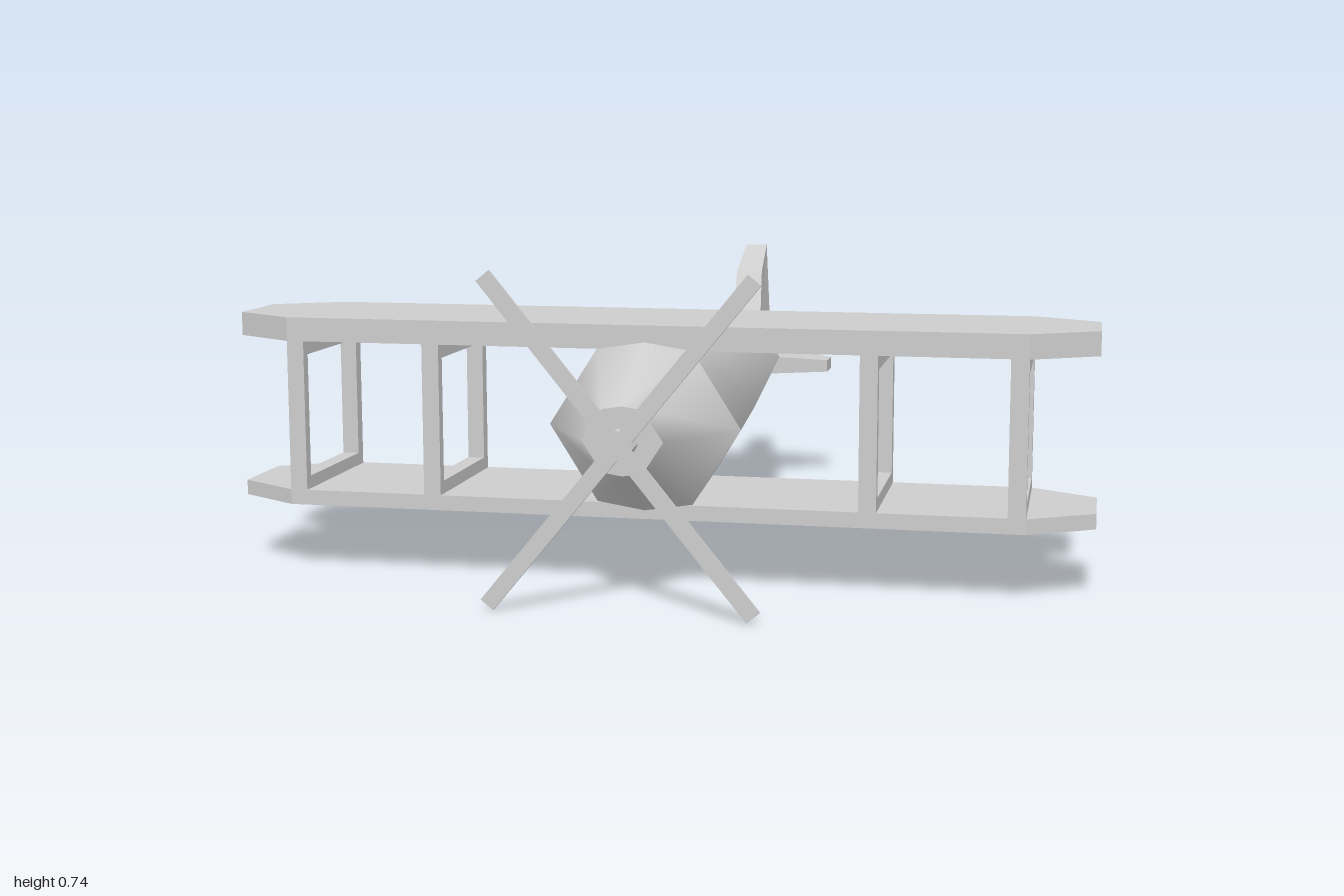
import * as THREE from 'three';

const grey = new THREE.MeshStandardMaterial({ color: 0xcccccc });
grey.name = 'plain grey';

// Skin a list of rings; each ring runs counter-clockwise seen from the first end.
function loft(rings, smooth) {
  const n = rings[0].length, pos = [], index = [];
  rings.forEach(ring => ring.forEach(p => pos.push(...p)));
  for (let r = 0; r < rings.length - 1; r++) {
    for (let i = 0; i < n; i++) {
      const j = (i + 1) % n, a = r * n + i, b = r * n + j;
      index.push(a, a + n, b, b, a + n, b + n);
    }
  }
  // end caps with their own corners
  [rings[0], rings[rings.length - 1]].forEach((ring, end) => {
    const base = pos.length / 3;
    ring.forEach(p => pos.push(...p));
    for (let i = 1; i < n - 1; i++) {
      index.push(base, base + i + (end ? 1 : 0), base + i + (end ? 0 : 1));
    }
  });
  let geo = new THREE.BufferGeometry();
  geo.setAttribute('position', new THREE.Float32BufferAttribute(pos, 3));
  geo.setIndex(index);
  if (!smooth) geo = geo.toNonIndexed();
  geo.computeVertexNormals();
  return geo;
}

// Fuselage section: pointed sides, shallow ridge above and below
function section(z, halfWidth, bottom, top) {
  const mid = (top + bottom) / 2, h = (top - bottom) / 2;
  return [[1, 0], [0.5, 0.91], [0, 1], [-0.5, 0.91], [-1, 0], [-0.5, -0.91], [0, -1], [0.5, -0.91]]
    .map(([x, y]) => [x * halfWidth, mid + y * h, z]);
}

export function createModel() {
  const model = new THREE.Group();
  model.name = 'biplane';
  const add = (name, geo, x = 0, y = 0, z = 0, parent = model) => {
    const mesh = new THREE.Mesh(geo, grey);
    mesh.name = name;
    mesh.position.set(x, y, z);
    parent.add(mesh);
    return mesh;
  };

  // Nose and fuselage
  const shoulder = section(0.605, 0.22, 0.18, 0.562);
  add('nose', loft([section(0.82, 0.09, 0.298, 0.45), shoulder], true));
  add('fuselage', loft([
    shoulder,
    section(0.25, 0.19, 0.195, 0.545),
    section(-0.68, 0.1, 0.298, 0.441),
    section(-0.87, 0.055, 0.32, 0.42),
  ], true));

  // Wings: plates with clipped corners
  const outline = new THREE.Shape([
    [-1, 0.33], [-0.85, 0.24], [0.85, 0.24], [1, 0.33],
    [1, 0.515], [0.85, 0.605], [-0.85, 0.605], [-1, 0.515],
  ].map(([x, z]) => new THREE.Vector2(x, z)));
  [['upperWing', 0.545, 0.6], ['lowerWing', 0.16, 0.195]].forEach(([name, low, high]) => {
    const geo = new THREE.ExtrudeGeometry(outline, { depth: high - low, bevelEnabled: false });
    geo.rotateX(Math.PI / 2);
    add(name, geo, 0, high, 0);
  });

  // Rectangular strut frames between the wings
  const frame = new THREE.Shape([[0.245, 0.19], [0.605, 0.19], [0.605, 0.55], [0.245, 0.55]]
    .map(([z, y]) => new THREE.Vector2(-z, y)));
  frame.holes.push(new THREE.Path([[0.275, 0.225], [0.275, 0.512], [0.58, 0.512], [0.58, 0.225]]
    .map(([z, y]) => new THREE.Vector2(-z, y))));
  const frameGeo = new THREE.ExtrudeGeometry(frame, { depth: 0.04, bevelEnabled: false });
  frameGeo.translate(0, 0, -0.02).rotateY(Math.PI / 2);
  [-0.83, -0.503, 0.503, 0.83].forEach(x => add('strutFrame', frameGeo, x));

  // Propeller with hub
  const propeller = new THREE.Group();
  propeller.name = 'propeller';
  propeller.position.set(0, 0.37, 0.86);
  model.add(propeller);
  [-1, 1].forEach(side => {
    const blade = add('blade', new THREE.BoxGeometry(0.926, 0.036, 0.011), 0, 0, 0, propeller);
    blade.rotation.z = side * 0.885;
  });
  const hub = new THREE.CylinderGeometry(0.036, 0.036, 0.05, 6).toNonIndexed();
  hub.rotateX(Math.PI / 2).rotateZ(Math.PI / 2);
  hub.computeVertexNormals();
  add('hub', hub, 0, 0, -0.022, propeller);

  // Tailplane, tip to tip
  const rib = (x, back, front, low, high) =>
    [[x, low, back], [x, high, back], [x, high, front], [x, low, front]];
  add('tailplane', loft([
    rib(0.23, -0.82, -0.74, 0.322, 0.355),
    rib(0.05, -0.87, -0.672, 0.32, 0.372),
    rib(-0.05, -0.87, -0.672, 0.32, 0.372),
    rib(-0.23, -0.82, -0.74, 0.322, 0.355),
  ], false));

  // Fin with a raked leading edge
  const finRing = (frontX, frontY, frontZ, backX, backY) => [
    [frontX, frontY, frontZ], [backX, backY, -0.87],
    [-backX, backY, -0.87], [-frontX, frontY, frontZ],
  ];
  add('fin', loft([
    finRing(0.036, 0.61, -0.75, 0.03, 0.677),
    finRing(0.043, 0.4, -0.675, 0.043, 0.4),
  ], false));

  return model;
}
